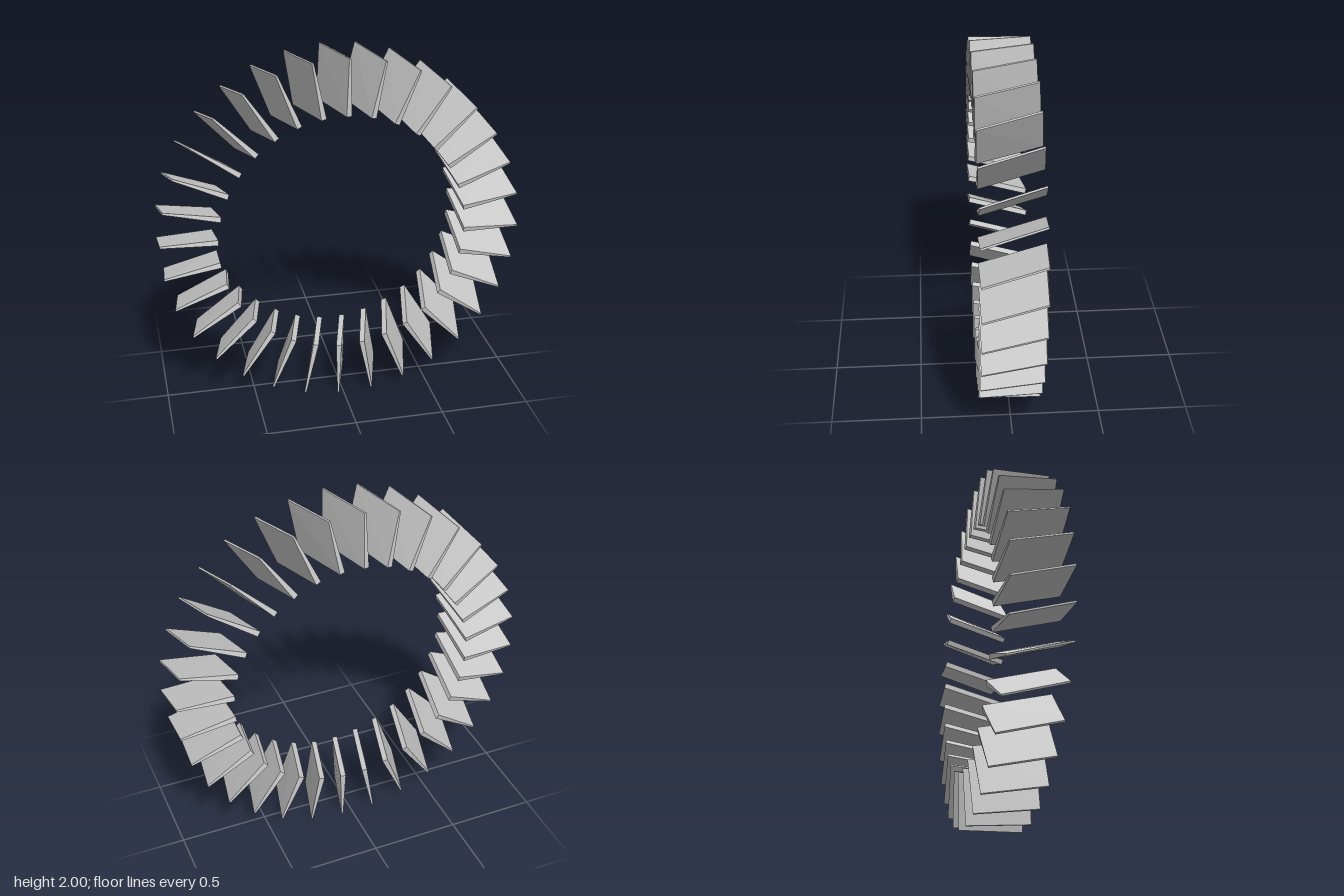
import * as THREE from 'three';

const COUNT = 32, INNER = 0.685, OUTER = 0.998;

// Corner positions [tangent, z] at the root (thick) and the tip (thin) of a blade
const ROOT = { frontLow: [-0.042, 0.171], frontHigh: [-0.013, 0.178], backLow: [0.05, -0.178], backHigh: [0.08, -0.171] };
const TIP = { frontLow: [-0.036, 0.175], frontHigh: [-0.026, 0.178], backLow: [0.058, -0.157], backHigh: [0.068, -0.154] };

// Tapered, pitched slab: a box whose corners are moved to the two end sections
function bladeGeometry() {
  const geometry = new THREE.BoxGeometry(1, 1, 1);
  const p = geometry.attributes.position;
  for (let i = 0; i < p.count; i++) {
    const tip = p.getX(i) > 0;
    const key = (p.getZ(i) > 0 ? 'front' : 'back') + (p.getY(i) > 0 ? 'High' : 'Low');
    const [t, z] = (tip ? TIP : ROOT)[key];
    p.setXYZ(i, tip ? OUTER : INNER, t, z);
  }
  geometry.computeVertexNormals();
  return geometry;
}

export function createModel() {
  const model = new THREE.Group();
  model.name = 'bladeRing';
  const geometry = bladeGeometry();
  const material = new THREE.MeshStandardMaterial({ color: 0xcccccc, flatShading: true });

  // Blades spaced evenly around the z axis
  for (let i = 0; i < COUNT; i++) {
    const blade = new THREE.Mesh(geometry, material);
    blade.name = `blade${i + 1}`;
    blade.position.y = 1;
    blade.rotation.z = (i / COUNT) * Math.PI * 2;
    model.add(blade);
  }
  return model;
}
